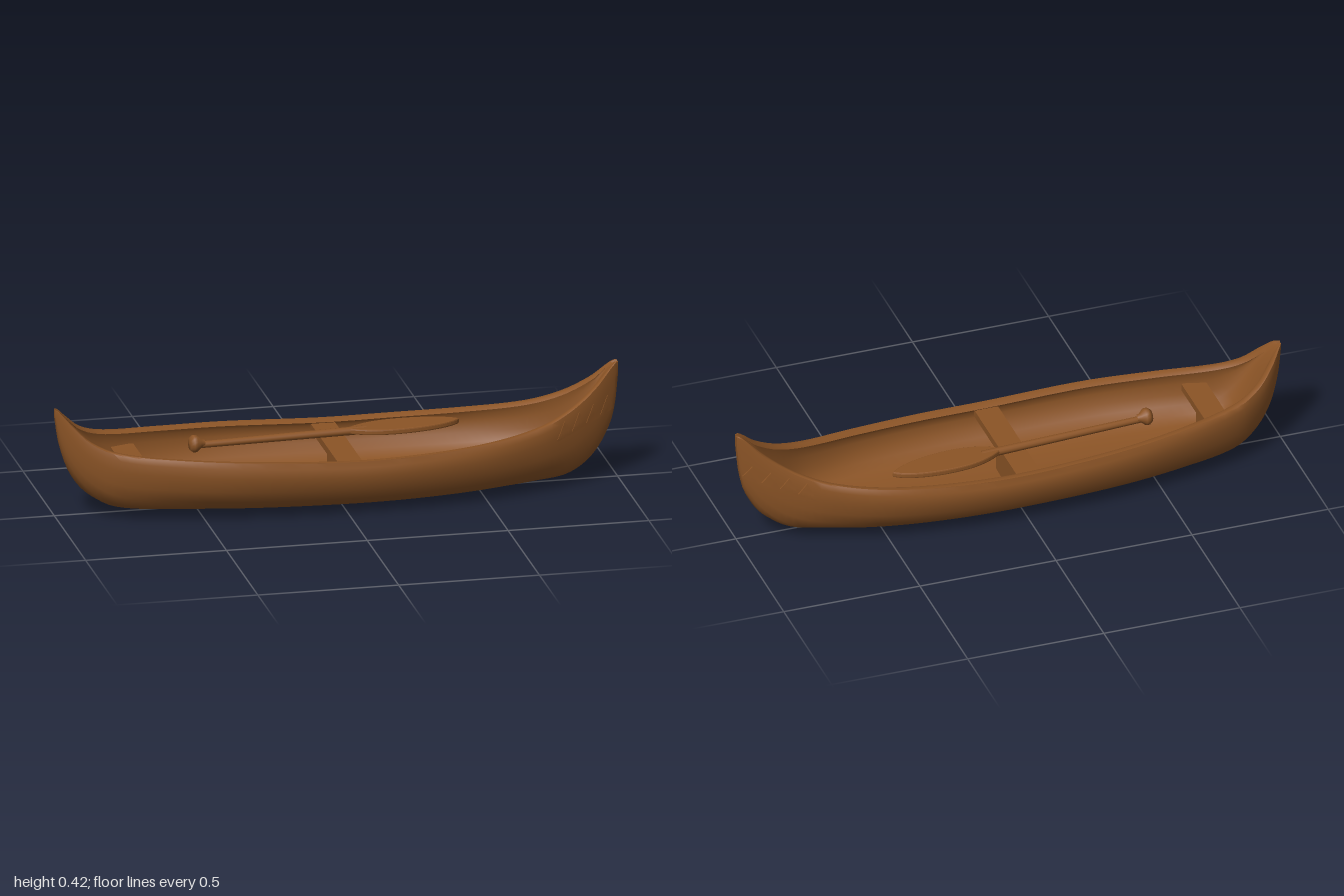
import * as THREE from 'three';
import { toCreasedNormals } from 'three/addons/utils/BufferGeometryUtils.js';

// Hull stations: x, keel height, sheer height, half width
const STATIONS = [
  [-1, 0.36, 0.39, 0.008], [-0.985, 0.265, 0.382, 0.03], [-0.95, 0.16, 0.345, 0.067],
  [-0.89, 0.08, 0.29, 0.108], [-0.8, 0.03, 0.256, 0.152], [-0.6, 0.014, 0.236, 0.207],
  [-0.35, 0.006, 0.222, 0.249], [0, 0.001, 0.206, 0.263], [0.25, 0.002, 0.209, 0.256],
  [0.5, 0.008, 0.222, 0.222], [0.7, 0.018, 0.25, 0.164], [0.82, 0.03, 0.294, 0.112],
  [0.91, 0.09, 0.352, 0.067], [0.97, 0.19, 0.408, 0.032], [0.99, 0.27, 0.423, 0.019],
  [1, 0.37, 0.424, 0.011],
];
// Cross-section from keel to sheer: fraction of half width, fraction of height
const SECTION = [[0, 0], [0.42, 0.05], [0.68, 0.14], [0.85, 0.3], [0.95, 0.5], [1, 0.74], [0.995, 0.9], [0.96, 0.985]];

// Smooth (Hermite) lookup of a station column at x
function station(x, col) {
  const n = STATIONS.length;
  let i = 0;
  while (i < n - 2 && x > STATIONS[i + 1][0]) i++;
  const slope = (k) => {
    const a = STATIONS[Math.max(k - 1, 0)], b = STATIONS[Math.min(k + 1, n - 1)];
    return (b[col] - a[col]) / (b[0] - a[0]);
  };
  const [a, b] = [STATIONS[i], STATIONS[i + 1]];
  const h = b[0] - a[0], t = (x - a[0]) / h, t2 = t * t, t3 = t2 * t;
  return (2 * t3 - 3 * t2 + 1) * a[col] + (t3 - 2 * t2 + t) * h * slope(i)
    + (3 * t2 - 2 * t3) * b[col] + (t3 - t2) * h * slope(i + 1);
}

// Half width of the outer hull at a given x and height
function hullHalfWidth(x, y) {
  const b = station(x, 1), t = station(x, 2);
  const f = THREE.MathUtils.clamp((y - b) / (t - b), 0, 0.985);
  let i = 0;
  while (i < SECTION.length - 2 && f > SECTION[i + 1][1]) i++;
  const [p, q] = [SECTION[i], SECTION[i + 1]];
  return station(x, 3) * THREE.MathUtils.mapLinear(f, p[1], q[1], p[0], q[0]);
}

function buildGeometry(positions, indices) {
  const g = new THREE.BufferGeometry();
  g.setAttribute('position', new THREE.Float32BufferAttribute(positions, 3));
  g.setIndex(indices);
  return g;
}

// Closed ring of [z, y] points: outside, gunwale, inside, then the mirrored half
function hullRing(x) {
  const b = station(x, 1), t = station(x, 2), w = station(x, 3);
  const half = SECTION.map(([u, v]) => [u * w, b + v * (t - b)]);
  const rim = Math.min(0.036, w * 0.6);
  const wi = w - rim;
  half.push([w - rim * 0.3, t], [w - rim * 0.75, t]);
  const open = 1 - THREE.MathUtils.smoothstep(Math.abs(x), 0.78, 0.975);
  const floor = t - 0.006 - Math.max(0, t - b - 0.06) * open;
  for (let k = SECTION.length - 1; k >= 0; k--) {
    const [u, v] = SECTION[k];
    half.push([u * wi, floor + v * (t - 0.006 - floor)]);
  }
  const mirrored = half.slice(1, -1).reverse().map(([z, y]) => [-z, y]);
  return half.concat(mirrored);
}

function hullGeometry() {
  const positions = [], indices = [], steps = 72;
  let m = 0;
  for (let i = 0; i <= steps; i++) {
    const x = -Math.cos((i / steps) * Math.PI);
    const ring = hullRing(x);
    m = ring.length;
    ring.forEach(([z, y]) => positions.push(x, y, z));
  }
  for (let i = 0; i < steps; i++) {
    for (let j = 0; j < m; j++) {
      const k = (j + 1) % m, a = i * m, b = a + m;
      indices.push(a + j, b + j, a + k, b + j, b + k, a + k);
    }
  }
  // Close both stems
  const c = (steps + 1) * m, last = steps * m;
  positions.push(-1, 0.375, 0, 1, 0.4, 0);
  for (let j = 0; j < m; j++) {
    const k = (j + 1) % m;
    indices.push(c, j, k, c + 1, last + k, last + j);
  }
  return toCreasedNormals(buildGeometry(positions, indices), 0.75);
}

// Raised saw-tooth band that follows the bow surface on one side
function toothGeometry(side) {
  const positions = [], indices = [], cols = 48, rows = 6, teeth = 4, m = rows + 3;
  for (let i = 0; i <= cols; i++) {
    const s = i / cols, x = 0.755 + s * 0.228;
    const low = 0.19 + s * 0.07;
    const wave = 1 - Math.abs(((s * teeth) % 1) * 2 - 1);
    const high = low + 0.007 + wave * Math.min(0.055, station(x, 2) - low - 0.025);
    for (let j = 0; j < m; j++) {
      const r = THREE.MathUtils.clamp((j - 1) / rows, 0, 1);
      const y = low + r * (high - low);
      const lift = j === 0 || j === m - 1 ? -0.003 : 0.005;
      positions.push(x, y, side * (hullHalfWidth(x, y) + lift));
    }
  }
  for (let i = 0; i < cols; i++) {
    for (let j = 0; j < m - 1; j++) {
      const a = i * m + j, b = a + m;
      if (side > 0) indices.push(a, b, a + 1, b, b + 1, a + 1);
      else indices.push(a, a + 1, b, b, a + 1, b + 1);
    }
  }
  return toCreasedNormals(buildGeometry(positions, indices), 0.5);
}

export function createModel() {
  const wood = new THREE.MeshStandardMaterial({ color: 0x8b5426 });
  const model = new THREE.Group();
  model.name = 'canoe';
  const add = (parent, name, geometry, x = 0, y = 0, z = 0) => {
    const mesh = new THREE.Mesh(geometry, wood);
    mesh.name = name;
    mesh.position.set(x, y, z);
    parent.add(mesh);
    return mesh;
  };

  add(model, 'hull', hullGeometry());
  for (const side of [1, -1]) add(model, side > 0 ? 'leftBowTeeth' : 'rightBowTeeth', toothGeometry(side));

  // Cross planks, each on a short post
  for (const [name, x, width, length] of [['middleThwart', 0.003, 0.086, 0.47], ['sternSeat', -0.73, 0.085, 0.29]]) {
    add(model, name, new THREE.BoxGeometry(width, 0.026, length), x, 0.182, 0);
    add(model, name + 'Post', new THREE.BoxGeometry(0.05, 0.13, 0.09), x, 0.115, 0);
  }

  // Paddle resting on the middle thwart
  const paddle = new THREE.Group();
  paddle.name = 'paddle';
  paddle.position.set(-0.025, 0.208, -0.07);
  paddle.rotation.y = 0.062;
  model.add(paddle);
  const shaft = add(paddle, 'paddleShaft', new THREE.CylinderGeometry(0.015, 0.012, 0.63, 12), -0.165);
  shaft.rotation.z = -Math.PI / 2;
  const knobProfile = [[0, -0.02], [0.022, -0.018], [0.031, -0.006], [0.03, 0.006], [0.016, 0.022], [0.012, 0.035]];
  const knob = add(paddle, 'paddleKnob',
    new THREE.LatheGeometry(knobProfile.map(([r, y]) => new THREE.Vector2(r, y)), 16), -0.468, 0.006);
  knob.rotation.z = -Math.PI / 2;

  const outline = new THREE.Shape();
  outline.moveTo(0.09, -0.014);
  outline.bezierCurveTo(0.15, -0.05, 0.2, -0.06, 0.27, -0.06);
  outline.bezierCurveTo(0.38, -0.058, 0.46, -0.03, 0.485, 0);
  outline.bezierCurveTo(0.46, 0.03, 0.38, 0.058, 0.27, 0.06);
  outline.bezierCurveTo(0.2, 0.06, 0.15, 0.05, 0.09, 0.014);
  const bladeGeometry = new THREE.ExtrudeGeometry(outline, {
    depth: 0.01, curveSegments: 10, bevelThickness: 0.005, bevelSize: 0.004, bevelOffset: -0.004, bevelSegments: 2,
  });
  bladeGeometry.rotateX(-Math.PI / 2);
  add(paddle, 'paddleBlade', bladeGeometry, 0, -0.003);

  return model;
}
